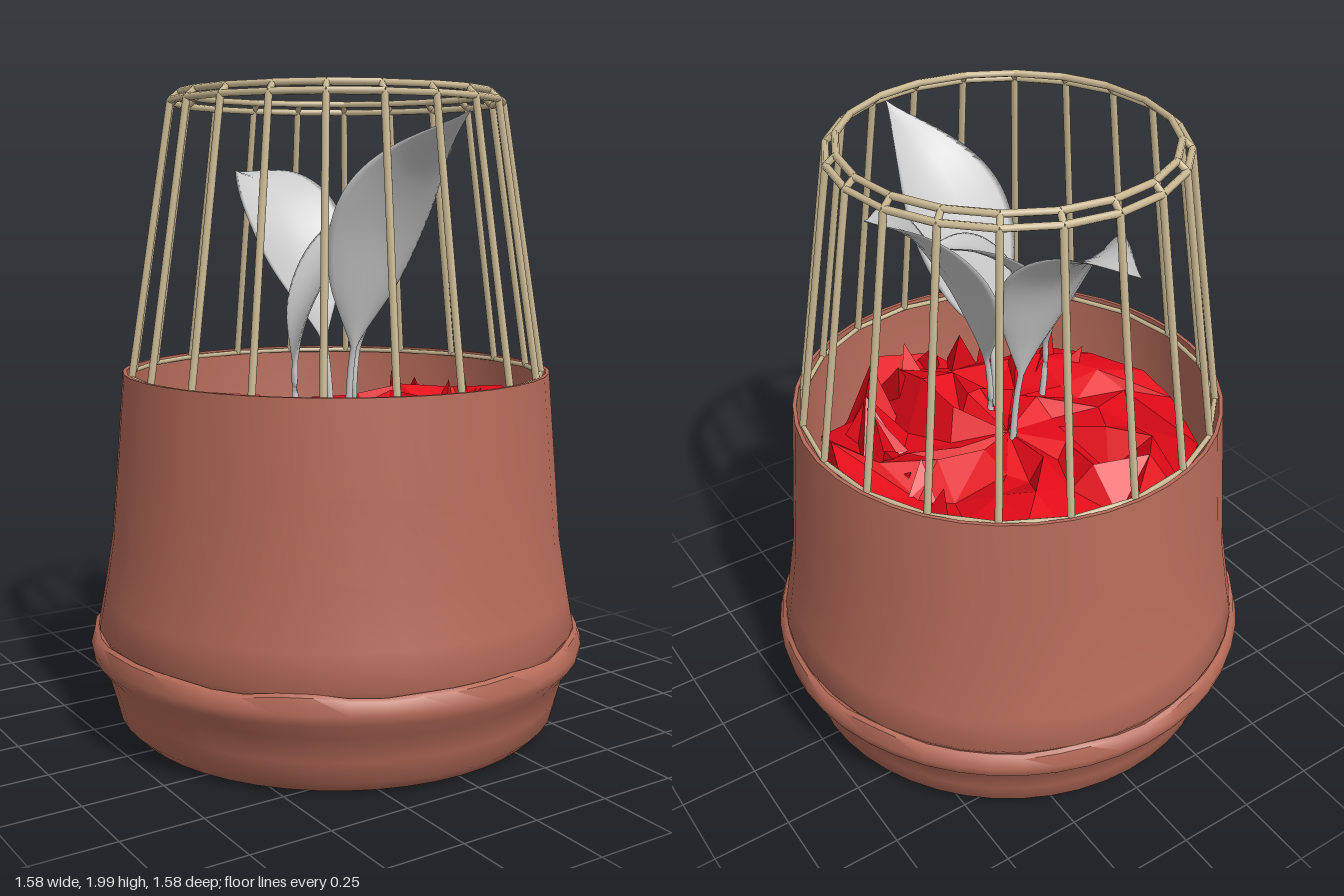
import * as THREE from 'three';
import { toCreasedNormals } from 'three/addons/utils/BufferGeometryUtils.js';

const V = (x, y, z) => new THREE.Vector3(x, y, z);
const clay = new THREE.MeshStandardMaterial({ color: 0xb56a58 });
const cane = new THREE.MeshStandardMaterial({ color: 0xcdbb95 });
const red = new THREE.MeshStandardMaterial({ color: 0xe50a18, flatShading: true, side: THREE.DoubleSide });
const grey = new THREE.MeshStandardMaterial({ color: 0xcccccc, side: THREE.DoubleSide });

function mesh(name, geometry, material) {
  const m = new THREE.Mesh(geometry, material);
  m.name = name;
  return m;
}

function lathe(profile, segments) {
  return new THREE.LatheGeometry(profile.map(([r, y]) => new THREE.Vector2(r, y)), segments);
}

// Surface through a grid of points, rows x cols, columns closed into a loop
function loft(rows) {
  const n = rows[0].length, pos = [], idx = [];
  rows.forEach(row => row.forEach(p => pos.push(p.x, p.y, p.z)));
  for (let i = 0; i < rows.length - 1; i++) {
    for (let j = 0; j < n; j++) {
      const a = i * n + j, b = i * n + (j + 1) % n;
      idx.push(a, a + n, b, b, a + n, b + n);
    }
  }
  const g = new THREE.BufferGeometry();
  g.setAttribute('position', new THREE.Float32BufferAttribute(pos, 3));
  g.setIndex(idx);
  g.computeVertexNormals();
  return g;
}

function bar(a, b, r) {
  const g = new THREE.CylinderGeometry(r, r, a.distanceTo(b), 6);
  const m = mesh('bar', g, cane);
  m.position.copy(a).lerp(b, 0.5);
  m.quaternion.setFromUnitVectors(V(0, 1, 0), b.clone().sub(a).normalize());
  return m;
}

// Leaf: thin cupped blade swept along a path, starting as a round stem
function leaf(name, path, side, halfWidth) {
  const curve = new THREE.CatmullRomCurve3(path.map(p => V(...p)));
  const rows = [], steps = 36, n = 14;
  for (let i = 0; i <= steps; i++) {
    const t = i / steps;
    const c = curve.getPoint(t), tan = curve.getTangent(t);
    const s = side.clone().addScaledVector(tan, -side.dot(tan)).normalize();
    const up = s.clone().cross(tan).normalize();
    if (up.y < 0) up.negate();
    const k = Math.max(0, (t - 0.22) / 0.78);
    const w = 0.011 * (1 - t) + halfWidth * Math.pow(Math.max(0, Math.sin(Math.PI * k)), 1.15) + 0.001;
    const thick = 0.011 * (1 - 0.85 * t);
    const row = [];
    for (let j = 0; j < n; j++) {
      const a = j / n * Math.PI * 2, u = Math.cos(a);
      const cup = 0.3 * w * u * u * (k > 0 ? 1 : 0);
      row.push(c.clone().addScaledVector(s, w * u).addScaledVector(up, thick * Math.sin(a) + cup));
    }
    rows.push(row);
  }
  return mesh(name, loft(rows), grey);
}

export function createModel() {
  const model = new THREE.Group();
  let seed = 11;
  const rand = () => (seed = (seed * 16807) % 2147483647) / 2147483647;

  // Flared pot body with inner wall and floor
  const body = lathe([[0.74, 0.29], [0.765, 0.335], [0.745, 0.44], [0.715, 0.62], [0.695, 0.86],
    [0.672, 1.137], [0.66, 1.137], [0.655, 0.9], [0.64, 0.8], [0, 0.8]], 40);
  model.add(mesh('potBody', toCreasedNormals(body, 0.8), clay));

  // Pot base with an uneven lip
  const base = lathe([[0, 0.008], [0.62, 0.008], [0.67, 0.015], [0.705, 0.05], [0.722, 0.12], [0.745, 0.2],
    [0.785, 0.25], [0.79, 0.28], [0.778, 0.32], [0.765, 0.327], [0.74, 0.31]], 48);
  const bp = base.attributes.position;
  for (let i = 0; i < bp.count; i++) {
    if (bp.getY(i) < 0.3) continue;
    const a = Math.atan2(bp.getZ(i), bp.getX(i));
    bp.setY(i, bp.getY(i) + 0.006 * Math.sin(a * 9) + 0.004 * Math.sin(a * 14 + 1));
  }
  base.computeVertexNormals();
  model.add(mesh('potBase', toCreasedNormals(base, 0.8), clay));

  // Jagged bed filling the pot, rougher towards the front left
  const rows = [0.62, 0.58, 0.47, 0.33, 0.18, 0.001].map((r, i) => {
    const row = [];
    for (let j = 0; j < 18; j++) {
      const a = (j + (i % 2) * 0.5 + (rand() - 0.5) * 0.7) / 18 * Math.PI * 2;
      const rough = 0.6 + 0.5 * Math.max(0, Math.cos(a - 0.8));
      const R = i === 5 ? r : r * (1 + (rand() - 0.5) * 0.1);
      const y = i === 0 ? 0.83 : i === 5 ? 0.98 : 0.96 + (rand() - 0.5) * 0.24 * rough;
      row.push(V(R * Math.cos(a), y, R * Math.sin(a)));
    }
    return row;
  });
  model.add(mesh('jaggedBed', loft(rows), red));

  // Shards standing out of the bed
  for (let i = 0; i < 16; i++) {
    const a = -0.5 + i * 0.21, r = 0.4 + rand() * 0.12;
    const shard = mesh('shard', new THREE.ConeGeometry(0.08, 0.2, 3), red);
    shard.position.set(r * Math.cos(a), 0.96 + rand() * 0.05, r * Math.sin(a));
    shard.rotation.set((rand() - 0.5) * 1.1, rand() * 6, (rand() - 0.5) * 1.1);
    model.add(shard);
  }

  // Cage: twenty leaning bars, two rings at the top and one at the rim
  const cage = new THREE.Group();
  cage.name = 'cage';
  const levels = [[0.648, 1.125], [0.515, 1.962], [0.485, 1.988]];
  const at = ([r, y], i) => V(r * Math.sin(i * Math.PI / 10), y, r * Math.cos(i * Math.PI / 10));
  for (let i = 0; i < 20; i++) {
    cage.add(bar(at(levels[0], i), at(levels[1], i), 0.011));
    cage.add(bar(at(levels[1], i), at(levels[2], i), 0.01));
    levels.forEach((l, k) => cage.add(bar(at(l, i), at(l, i + 1), k ? 0.011 : 0.008)));
  }
  model.add(cage);

  // Four leaves curling outwards
  const X = V(1, 0, 0), Z = V(0, 0, 1);
  model.add(
    leaf('backLeaf', [[0, 0.9, -0.02], [-0.01, 1.2, -0.05], [-0.04, 1.4, -0.1], [-0.07, 1.59, -0.18],
      [-0.07, 1.72, -0.32], [-0.07, 1.76, -0.53]], X, 0.17),
    leaf('frontLeaf', [[-0.05, 0.9, 0.14], [-0.05, 1.2, 0.17], [-0.03, 1.38, 0.22], [0, 1.6, 0.3],
      [0.03, 1.77, 0.41], [0.06, 1.91, 0.59]], X, 0.17),
    leaf('leftLeaf', [[0, 0.9, 0.1], [0.01, 1.18, 0.1], [0.08, 1.38, 0.09], [0.18, 1.58, 0.08],
      [0.3, 1.74, 0.06], [0.47, 1.86, -0.01]], Z, 0.17),
    leaf('smallLeaf', [[-0.21, 0.9, 0.12], [-0.22, 1.16, 0.11], [-0.18, 1.34, 0.1], [-0.06, 1.52, 0.1],
      [0.07, 1.61, 0.11], [0.21, 1.64, 0.13]], Z, 0.1)
  );
  return model;
}
